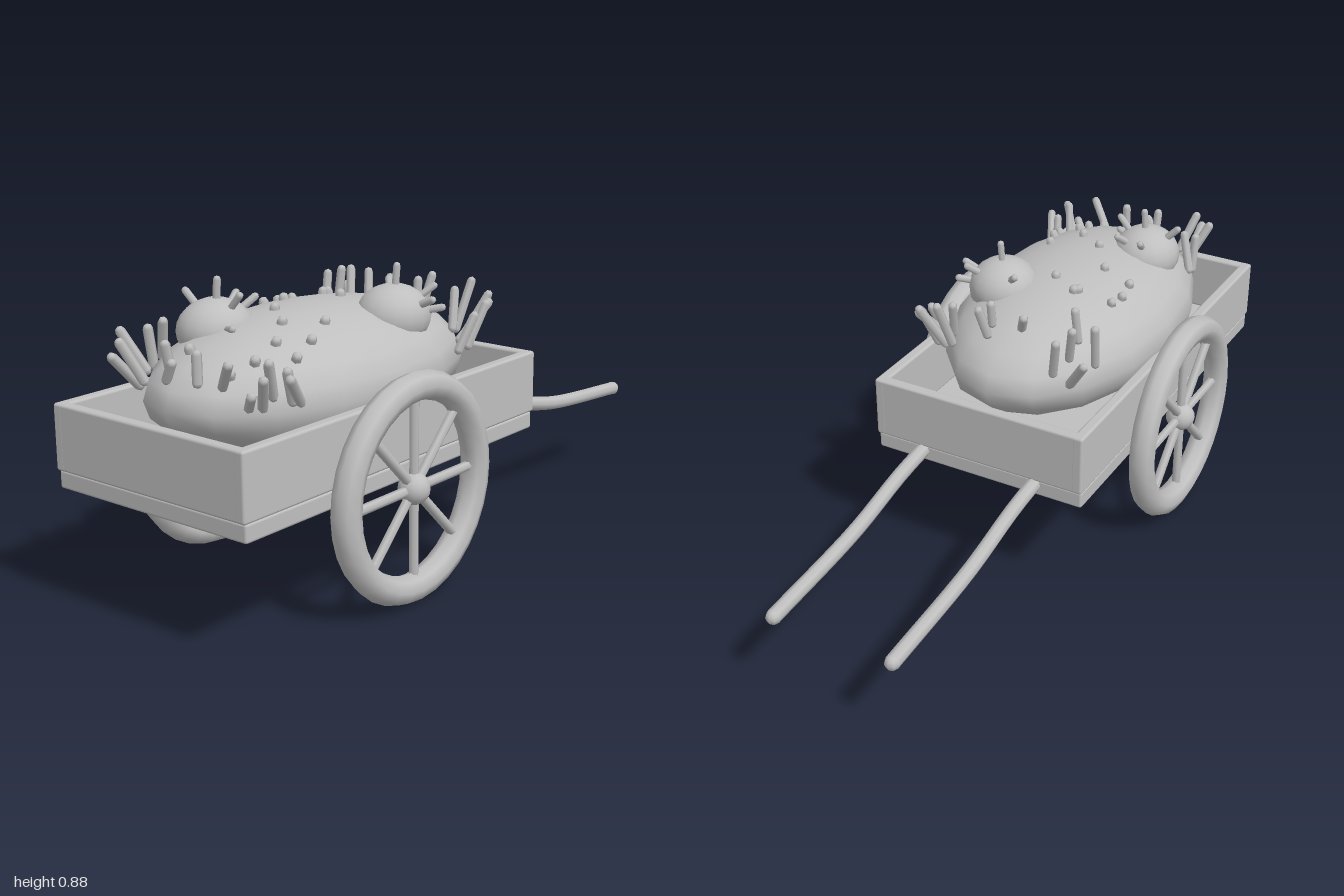
import * as THREE from 'three';
import { RoundedBoxGeometry } from 'three/addons/geometries/RoundedBoxGeometry.js';

const grey = new THREE.MeshStandardMaterial({ color: 0xbfbfbf });
grey.name = 'plain grey';

function part(parent, name, geometry, x = 0, y = 0, z = 0) {
  const mesh = new THREE.Mesh(geometry, grey);
  mesh.name = name;
  mesh.position.set(x, y, z);
  parent.add(mesh);
  return mesh;
}

// round rod with domed ends between two points
function rod(parent, name, a, b, radius) {
  const dir = b.clone().sub(a);
  const mesh = part(parent, name, new THREE.CapsuleGeometry(radius, Math.max(dir.length() - 2 * radius, 0.01), 2, 6));
  mesh.position.copy(a).add(b).multiplyScalar(0.5);
  mesh.quaternion.setFromUnitVectors(new THREE.Vector3(0, 1, 0), dir.normalize());
  return mesh;
}

const box = (w, h, d) => new RoundedBoxGeometry(w, h, d, 2, 0.008);

// load: a long mound, half sunk in the tray
const MOUND = { y: 0.597, z: 0.37, rx: 0.328, ry: 0.193, rz: 0.553 };
function moundPoint(x, z) {
  const k = 1 - (x / MOUND.rx) ** 2 - ((z - MOUND.z) / MOUND.rz) ** 2;
  return new THREE.Vector3(x, MOUND.y + MOUND.ry * Math.sqrt(Math.max(k, 0.02)), z);
}

// spikes: base x, base z, then the offset to the tip
const frontSpikes = [
  [-0.185, 0.80, -0.06, 0.13, 0.05], [-0.24, 0.70, 0.04, 0.13, 0.03],
  [-0.13, 0.86, -0.04, 0.13, 0.06], [-0.17, 0.84, -0.01, 0.11, 0.10],
  [-0.23, 0.74, 0.00, 0.13, 0.02], [-0.04, 0.88, 0.04, 0.07, 0.01],
  [-0.05, 0.85, 0.00, 0.09, 0.02], [0.065, 0.87, 0.00, 0.10, 0.00],
  [0.12, 0.84, 0.075, 0.09, 0.05], [0.22, 0.76, 0.03, 0.12, 0.05],
  [0.25, 0.72, 0.015, 0.11, 0.04], [0.26, 0.70, 0.05, 0.10, 0.10],
  [0.22, 0.80, 0.07, 0.11, 0.07], [0.19, 0.82, 0.06, 0.06, 0.05],
];
const backSpikes = [
  [-0.20, -0.06, -0.08, 0.12, -0.06], [-0.16, -0.08, -0.03, 0.14, -0.04],
  [-0.18, -0.02, -0.03, 0.13, -0.04], [-0.24, 0.03, -0.01, 0.15, -0.03],
  [-0.18, 0.04, 0.01, 0.12, -0.01], [-0.02, -0.01, -0.03, 0.07, -0.04],
  [0.06, -0.06, 0.02, 0.11, -0.03], [0.07, -0.02, 0.00, 0.09, -0.01],
  [0.18, -0.06, 0.02, 0.16, -0.06], [0.21, -0.04, 0.06, 0.15, -0.07],
  [0.25, -0.02, 0.03, 0.14, -0.06], [0.20, -0.02, -0.02, 0.13, -0.04],
  [0.26, 0.04, 0.03, 0.12, -0.05], [0.23, 0.00, 0.05, 0.12, -0.10],
];
const stubs = [
  [-0.19, 0.23], [-0.09, 0.21], [-0.08, 0.20], [0, 0.24], [-0.2, 0.28], [-0.19, 0.35], [-0.1, 0.365],
  [-0.02, 0.49], [0.14, 0.47], [0.07, 0.56], [0.18, 0.57], [0.13, 0.65], [0.2, 0.65],
  [0.14, 0.74], [-0.05, 0.78], [0.12, 0.81],
];
// bumps on the mound, each with spikes given as directions
const bumps = [
  { at: [0.15, 0.74, 0.19], spikes: [[0.05, 1, -0.05], [0.6, 0.6, -0.6], [1.1, 0.5, -0.1], [-0.6, 0.6, -0.6], [0.9, 0.2, -0.5]] },
  { at: [-0.125, 0.735, 0.61], spikes: [[0.07, 1, 0], [-0.2, 0.6, -0.8], [0.4, 0.6, -0.7], [0.65, 0.75, 0], [-0.75, 0.75, 0.1], [0.8, 0.2, 0.4]] },
];

export function createModel() {
  const model = new THREE.Group();
  model.name = 'loadedHandcart';

  // tray
  part(model, 'floor', box(0.675, 0.052, 1.23), 0, 0.372, 0.378);
  for (const s of [-1, 1]) {
    part(model, 'sideWall', box(0.034, 0.185, 1.245), s * 0.323, 0.489, 0.378);
    part(model, 'endWall', box(0.68, 0.185, 0.034), 0, 0.489, 0.378 + s * 0.605);
  }

  // wheels and handles
  for (const s of [-1, 1]) {
    const wheel = new THREE.Group();
    wheel.name = s > 0 ? 'leftWheel' : 'rightWheel';
    wheel.position.set(s * 0.37, 0.33, 0.38);
    part(wheel, 'rim', new THREE.TorusGeometry(0.282, 0.041, 8, 32)).rotation.y = Math.PI / 2;
    part(wheel, 'hub', new THREE.SphereGeometry(0.045, 14, 10));
    for (let i = 0; i < 8; i++) {
      const a = i * Math.PI / 4;
      rod(wheel, 'spoke', new THREE.Vector3(), new THREE.Vector3(0, 0.28 * Math.cos(a), 0.28 * Math.sin(a)), 0.014);
    }
    model.add(wheel);

    const path = new THREE.CatmullRomCurve3([[0.385, -0.2], [0.365, -0.36], [0.315, -0.6], [0.282, -0.978]]
      .map(([y, z]) => new THREE.Vector3(s * 0.185, y, z)));
    part(model, 'handle', new THREE.TubeGeometry(path, 14, 0.022, 8));
    part(model, 'handleTip', new THREE.SphereGeometry(0.022, 8, 6), s * 0.185, 0.282, -0.978);
  }

  // mound and bumps
  part(model, 'mound', new THREE.SphereGeometry(1, 16, 12), 0, MOUND.y, MOUND.z)
    .scale.set(MOUND.rx, MOUND.ry, MOUND.rz);
  for (const { at, spikes } of bumps) {
    part(model, 'bump', new THREE.SphereGeometry(1, 16, 12), ...at).scale.set(0.105, 0.09, 0.11);
    for (const d of spikes) {
      const dir = new THREE.Vector3(...d).normalize();
      const centre = new THREE.Vector3(...at);
      rod(model, 'bumpSpike', centre.clone().addScaledVector(dir, 0.07), centre.addScaledVector(dir, 0.15), 0.011);
    }
  }

  // spikes around both ends and short stubs on top
  for (const [x, z, dx, dy, dz] of [...frontSpikes, ...backSpikes]) {
    const base = moundPoint(x, z);
    base.y -= 0.01;
    rod(model, 'spike', base, base.clone().add(new THREE.Vector3(dx, dy, dz)), 0.014);
  }
  for (const [x, z] of stubs) {
    const base = moundPoint(x, z);
    const normal = new THREE.Vector3(x / MOUND.rx ** 2, (base.y - MOUND.y) / MOUND.ry ** 2, (z - MOUND.z) / MOUND.rz ** 2).normalize();
    rod(model, 'stub', base.clone().addScaledVector(normal, -0.03), base.addScaledVector(normal, 0.02), 0.015);
  }
  return model;
}
